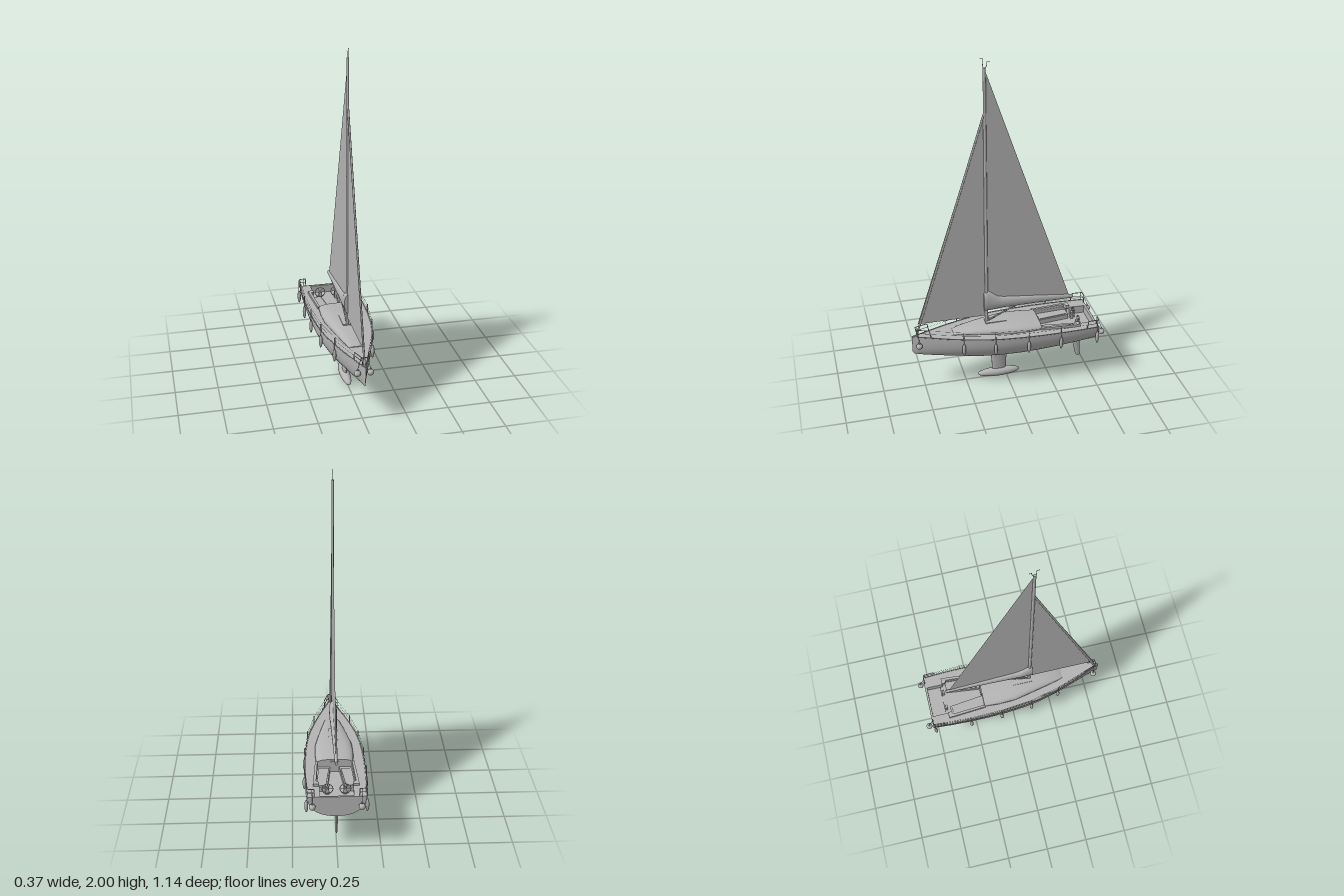
import * as THREE from 'three';

const grey = new THREE.MeshStandardMaterial({ color: 0xb4b4b4, side: THREE.DoubleSide });
grey.name = 'light grey';
const V = (x, y, z) => new THREE.Vector3(x, y, z);

// Skin through equal-length rings; closed rings get flat end caps
function loft(rings, closed = true, capStart = closed, capEnd = closed) {
  const n = rings[0].length, pos = [], idx = [];
  rings.forEach(r => r.forEach(p => pos.push(p.x, p.y, p.z)));
  for (let i = 0; i < rings.length - 1; i++) {
    for (let j = 0; j < (closed ? n : n - 1); j++) {
      const k = (j + 1) % n, a = i * n + j, b = a + n, c = i * n + k, d = c + n;
      idx.push(a, c, b, c, d, b);
    }
  }
  const cap = (ring, flip) => {
    const s = pos.length / 3;
    ring.forEach(p => pos.push(p.x, p.y, p.z));
    for (let j = 1; j < n - 1; j++) flip ? idx.push(s, s + j + 1, s + j) : idx.push(s, s + j, s + j + 1);
  };
  if (capStart) cap(rings[0], true);
  if (capEnd) cap(rings[rings.length - 1], false);
  const g = new THREE.BufferGeometry();
  g.setAttribute('position', new THREE.Float32BufferAttribute(pos, 3));
  g.setIndex(idx);
  g.computeVertexNormals();
  return g;
}

// Plan outline given as [x, z] points, as a shape and as a vertical extrusion
const plan = pts => new THREE.Shape(pts.map(([x, z]) => new THREE.Vector2(x, -z)));
function slab(shape, y0, y1) {
  return new THREE.ExtrudeGeometry(shape, { depth: y1 - y0, bevelEnabled: false })
    .rotateX(-Math.PI / 2).translate(0, y0, 0);
}

// Thin tube along straight segments
function rod(points, r, sides = 6) {
  const path = new THREE.CurvePath();
  for (let i = 0; i < points.length - 1; i++) path.add(new THREE.LineCurve3(points[i], points[i + 1]));
  return new THREE.TubeGeometry(path, (points.length - 1) * 8, r, sides);
}

// Foil blade from horizontal slices [y, zFront, zBack, halfThickness]
function blade(slices) {
  return loft(slices.map(([y, zf, zb, t]) => Array.from({ length: 20 }, (_, i) => {
    const a = i / 20 * Math.PI * 2;
    return V(t * Math.cos(a), y, (zf + zb) / 2 - (zf - zb) / 2 * Math.sin(a));
  })));
}

export function createModel() {
  const model = new THREE.Group();
  model.name = 'sailingYacht';
  const add = (name, geo) => {
    const m = new THREE.Mesh(geo, grey);
    m.name = name;
    model.add(m);
    return m;
  };
  const DECK = 0.355;

  // Hull stations: z, half beam, keel height
  const stations = [[-0.528, 0.163, 0.228], [-0.42, 0.169, 0.212], [-0.3, 0.172, 0.199], [-0.18, 0.172, 0.189],
    [-0.06, 0.167, 0.182], [0.05, 0.157, 0.18], [0.16, 0.139, 0.184], [0.27, 0.109, 0.193], [0.37, 0.077, 0.204],
    [0.46, 0.043, 0.216], [0.53, 0.016, 0.229], [0.555, 0.006, 0.237], [0.567, 0.001, 0.252]];
  const beam = z => {
    let i = 0;
    while (i < stations.length - 2 && stations[i + 1][0] < z) i++;
    const [a, b] = [stations[i], stations[i + 1]];
    return THREE.MathUtils.lerp(a[1], b[1], (z - a[0]) / (b[0] - a[0]));
  };
  add('hull', loft(stations.map(([z, w, k]) => Array.from({ length: 25 }, (_, j) => {
    const t = (j / 24 - 0.5) * Math.PI;
    return V(Math.sign(t) * w * Math.abs(Math.sin(t)) ** 0.9, DECK - (DECK - k) * Math.cos(t) ** 0.85, z);
  })), false, true));

  // Deck with the cockpit opening
  const side = stations.map(([z, w]) => [w, z]);
  const deck = plan([...side, ...side.map(([x, z]) => [-x, z]).reverse()]);
  const well = [[-0.095, -0.515], [0.095, -0.515], [0.095, -0.42], [0.112, -0.41], [0.1, -0.19],
    [-0.1, -0.19], [-0.112, -0.41], [-0.095, -0.42]];
  deck.holes.push(plan(well));
  add('deck', new THREE.ShapeGeometry(deck).rotateX(-Math.PI / 2).translate(0, DECK - 0.002, 0));
  const liner = plan([[-0.12, -0.52], [0.12, -0.52], [0.12, -0.18], [-0.12, -0.18]]);
  liner.holes.push(plan(well));
  add('cockpitWalls', slab(liner, 0.3, DECK - 0.003));
  add('cockpitFloor', slab(plan(well), 0.296, 0.304));

  // Cabin roof: z, half width, crown height
  const cabin = [[-0.19, 0.107, 0.382], [-0.1, 0.113, 0.39], [0, 0.11, 0.396], [0.1, 0.09, 0.394],
    [0.2, 0.068, 0.385], [0.29, 0.047, 0.371], [0.325, 0.036, 0.357]];
  add('cabin', loft(cabin.map(([z, w, h]) => Array.from({ length: 17 }, (_, j) => {
    const t = j / 16 * Math.PI;
    return V(w * Math.sign(Math.cos(t)) * Math.abs(Math.cos(t)) ** 0.7, 0.35 + (h - 0.35) * Math.sin(t) ** 0.7, z);
  }))));
  add('mastPlate', new THREE.BoxGeometry(0.054, 0.006, 0.13)).position.set(0, 0.395, 0.065);
  add('companionway', new THREE.BoxGeometry(0.05, 0.07, 0.008)).position.set(0, 0.335, -0.192);

  // Fin keel, ballast bulb, rudder and drive leg
  add('keel', blade([[0.045, 0.088, 0.004, 0.011], [0.12, 0.092, 0, 0.015], [0.17, 0.098, -0.008, 0.019], [0.2, 0.108, -0.018, 0.021]]));
  add('keelBulb', new THREE.SphereGeometry(1, 24, 16).scale(0.029, 0.028, 0.129)).position.set(0, 0.028, 0.048);
  add('rudder', blade([[0.065, -0.445, -0.466, 0.004], [0.075, -0.438, -0.468, 0.006], [0.22, -0.405, -0.463, 0.011], [0.24, -0.405, -0.462, 0.011]]));
  add('driveLeg', blade([[0.158, -0.204, -0.222, 0.005], [0.2, -0.198, -0.218, 0.005]]));
  add('propeller', new THREE.CylinderGeometry(0.016, 0.016, 0.004, 12).rotateX(Math.PI / 2)).position.set(0, 0.165, -0.224);

  // Mast, masthead instruments, boom cover and vang
  add('mast', new THREE.CylinderGeometry(0.007, 0.008, 1.56, 12).scale(1, 1, 1.2)).position.set(0, 1.167, 0.119);
  add('antenna', rod([V(0, 1.94, 0.125), V(0, 1.955, 0.127), V(0, 1.998, 0.128), V(0, 2, 0.143)], 0.0015));
  add('windVane', rod([V(0, 1.94, 0.115), V(0, 1.958, 0.105), V(0, 1.978, 0.104), V(0, 1.978, 0.09)], 0.0015));
  const boom = [[-0.408, 0.48, 0.504, 0.008], [-0.2, 0.478, 0.527, 0.013], [0.02, 0.477, 0.55, 0.02],
    [0.055, 0.474, 0.56, 0.022], [0.108, 0.47, 0.602, 0.024], [0.136, 0.468, 0.588, 0.022]];
  add('boomCover', loft(boom.map(([z, y0, y1, w]) => Array.from({ length: 14 }, (_, i) => {
    const a = i / 14 * Math.PI * 2;
    return V(w * Math.cos(a), (y0 + y1) / 2 + (y1 - y0) / 2 * Math.sin(a), z);
  }))));
  add('vang', rod([V(0, 0.4, 0.112), V(0, 0.485, -0.07)], 0.005));

  // Sails and furled forestay
  const sail = (name, pts) => add(name, new THREE.ShapeGeometry(
    new THREE.Shape(pts.map(([z, y]) => new THREE.Vector2(-z, y)))).rotateY(Math.PI / 2));
  sail('mainsail', [[0.112, 1.925], [0.112, 0.59], [0.05, 0.55], [-0.385, 0.502]]);
  sail('headsail', [[0.126, 1.69], [0.53, 0.435], [0.126, 0.435]]);
  add('forestay', rod([V(0, 0.35, 0.543), V(0, 1.69, 0.124)], 0.006, 8));

  // Fender profile
  const fender = new THREE.LatheGeometry([[0, 0.248], [0.004, 0.252], [0.0095, 0.27], [0.0105, 0.29], [0.0095, 0.312],
    [0.004, 0.328], [0, 0.334]].map(([x, y]) => new THREE.Vector2(x, y)), 10);
  const posts = [-0.515, -0.29, -0.095, 0.1, 0.28];

  // Everything mirrored left and right
  for (const [s, label] of [[1, 'left'], [-1, 'right']]) {
    const put = (name, geo) => add(label + name, geo);
    const mir = pts => plan(pts.map(([x, z]) => [s * x, z]));
    put('ToeRail', rod(stations.map(([z, w]) => V(s * w, DECK, z)), 0.0028, 5));

    // Cockpit furniture
    put('Coaming', slab(mir([[0.095, -0.42], [0.13, -0.42], [0.128, -0.385], [0.113, -0.185], [0.1, -0.19], [0.112, -0.39], [0.095, -0.4]]), 0.345, 0.368));
    put('Bench', slab(mir([[0.05, -0.4], [0.113, -0.4], [0.101, -0.19], [0.026, -0.19]]), 0.3, 0.332));
    put('Cushion', slab(mir([[0.057, -0.39], [0.107, -0.385], [0.096, -0.212], [0.034, -0.212]]), 0.332, 0.337));
    put('Wheel', new THREE.TorusGeometry(0.031, 0.0022, 6, 24)).position.set(s * 0.05, 0.345, -0.434);
    for (let i = 0; i < 3; i++) {
      put('WheelSpoke', new THREE.BoxGeometry(0.06, 0.002, 0.002).rotateZ(i * Math.PI / 3)).position.set(s * 0.05, 0.345, -0.434);
    }
    put('WheelPedestal', new THREE.BoxGeometry(0.02, 0.05, 0.014)).position.set(s * 0.05, 0.325, -0.422);

    // Stanchions, hanging fenders and lifelines
    for (const z of posts) {
      const x = s * (beam(z) + 0.002);
      put('Stanchion', rod([V(x, DECK, z), V(x, 0.402, z)], 0.002));
      put('FenderRope', rod([V(x + s * 0.004, 0.4, z), V(x + s * 0.004, 0.33, z)], 0.0015));
      put('Fender', fender).position.set(x + s * 0.003, 0, z);
    }
    for (const y of [0.38, 0.402]) {
      put('Lifeline', rod([...posts, 0.46].map(z => V(s * beam(z), y, z)), 0.0008, 4));
    }

    // Bow and stern rails
    put('BowRail', rod([V(s * 0.041, DECK, 0.46), V(s * 0.041, 0.404, 0.47), V(s * 0.016, 0.406, 0.545), V(s * 0.01, DECK, 0.535)], 0.0025));
    put('BowRailBar', rod([V(s * 0.041, 0.382, 0.465), V(s * 0.014, 0.382, 0.54)], 0.0018));
    put('SternRail', rod([V(s * 0.167, DECK, -0.45), V(s * 0.167, 0.404, -0.46), V(s * 0.163, 0.404, -0.522),
      V(s * 0.125, 0.404, -0.524), V(s * 0.125, DECK, -0.522)], 0.0025));
    put('SternRailBar', rod([V(s * 0.167, 0.38, -0.455), V(s * 0.163, 0.38, -0.522), V(s * 0.125, 0.38, -0.523)], 0.0018));

    // Round buoys at both ends
    for (const [x, z] of [[0.037, 0.53], [0.137, -0.551]]) {
      put('RoundBuoy', new THREE.SphereGeometry(0.0185, 16, 12)).position.set(s * x, 0.305, z);
      put('BuoyNeck', new THREE.CylinderGeometry(0.004, 0.006, 0.012, 8)).position.set(s * x, 0.326, z);
      const inner = z > 0 ? V(s * 0.018, 0.4, 0.535) : V(s * x, 0.4, -0.524);
      put('BuoyRope', rod([V(s * x, 0.33, z), inner], 0.0015));
    }
  }
  add('bowRailFront', rod([V(-0.016, 0.406, 0.545), V(0.016, 0.406, 0.545)], 0.0025));
  return model;
}
